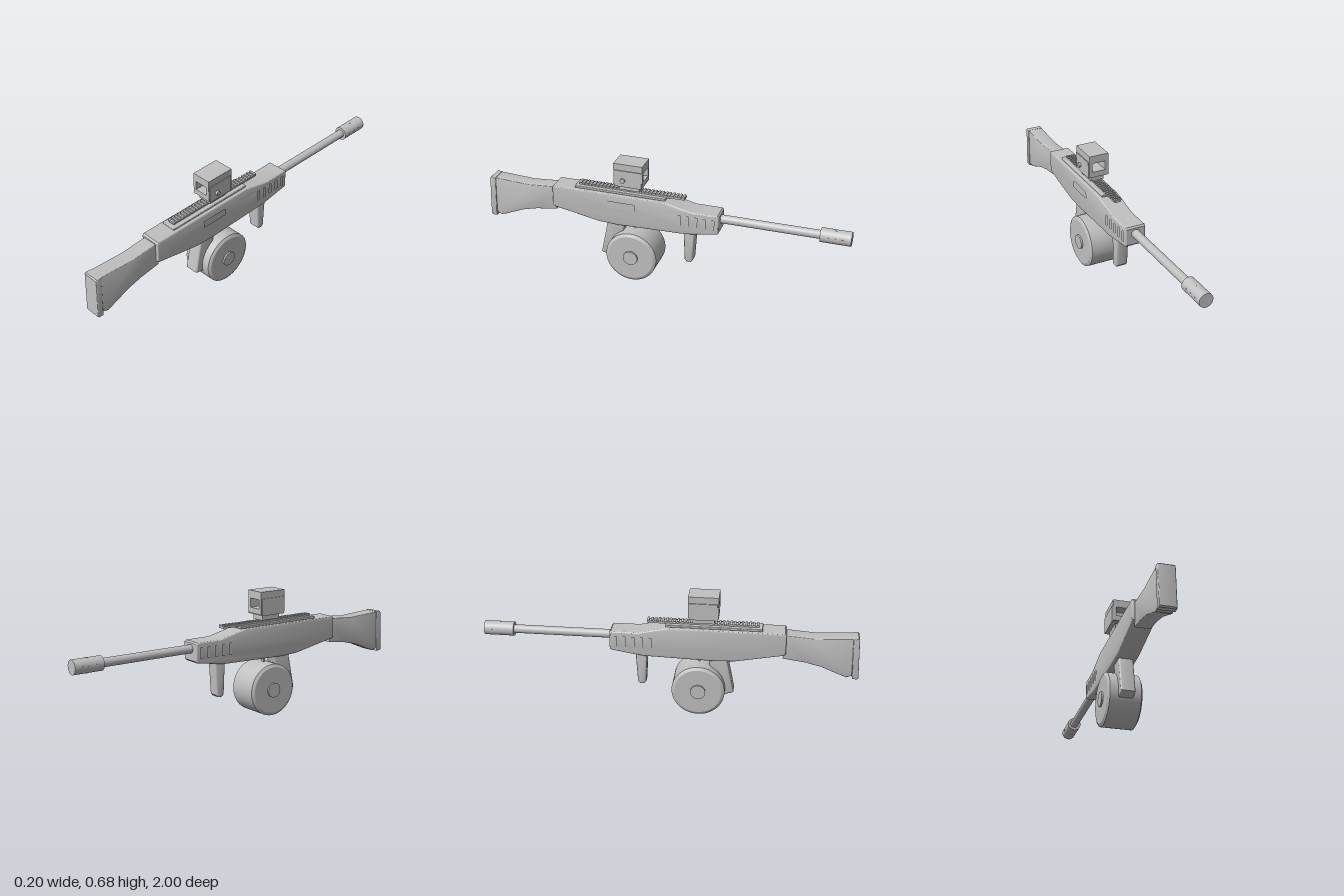
import * as THREE from 'three';
import { toCreasedNormals } from 'three/addons/utils/BufferGeometryUtils.js';
import { RoundedBoxGeometry } from 'three/addons/geometries/RoundedBoxGeometry.js';

const steel = new THREE.MeshStandardMaterial({ color: 0xc0c0c0 });
steel.name = 'light grey';

function add(parent, name, geometry, x = 0, y = 0, z = 0) {
  const mesh = new THREE.Mesh(geometry, steel);
  mesh.name = name;
  mesh.position.set(x, y, z);
  parent.add(mesh);
  return mesh;
}

// Side profile given as [z, y] points, extruded across x from x0 to x1
const toPoints = (pts) => pts.map(([z, y]) => new THREE.Vector2(-z, y));
function sideExtrude(pts, x0, x1, bevel = 0, holes = []) {
  const shape = new THREE.Shape(toPoints(pts));
  for (const h of holes) shape.holes.push(new THREE.Path(toPoints(h)));
  const g = new THREE.ExtrudeGeometry(shape, {
    depth: x1 - x0 - 2 * bevel, bevelEnabled: bevel > 0, bevelSize: bevel,
    bevelThickness: bevel, bevelOffset: -bevel, bevelSegments: 3,
  });
  g.translate(0, 0, x0 + bevel).rotateY(Math.PI / 2);
  return toCreasedNormals(g, 0.6);
}

// Cylinder lying along z or x
function rod(r, length, axis, sides = 32) {
  const g = new THREE.CylinderGeometry(r, r, length, sides);
  return axis === 'z' ? g.rotateX(Math.PI / 2) : g.rotateZ(Math.PI / 2);
}

const rect = (z0, z1, y0, y1) => [[z0, y0], [z1, y0], [z1, y1], [z0, y1]];

function buildReceiver(group) {
  const profile = [
    [0.615, 0.482], [0.607, 0.492], [0.0, 0.492], [-0.04, 0.486], [-0.165, 0.457],
    [-0.308, 0.457], [-0.316, 0.449], [-0.316, 0.358], [-0.308, 0.349],
    [-0.14, 0.322], [0.24, 0.312], [0.35, 0.317], [0.607, 0.366], [0.615, 0.374],
  ];
  add(group, 'receiverCore', sideExtrude(profile, -0.05, 0.05));
  // Side skins with cooling slots, and a port on the left side only
  const slots = [];
  for (let i = 0; i < 5; i++) {
    const z = -0.1 - i * 0.046;
    slots.push(rect(z - 0.014, z + 0.014, 0.365, 0.437));
  }
  const port = rect(0.14, 0.305, 0.405, 0.455);
  add(group, 'leftSkin', sideExtrude(profile, 0.036, 0.057, 0.007, [...slots, port]));
  add(group, 'rightSkin', sideExtrude(profile, -0.057, -0.036, 0.007, slots));
}

function buildStock(group) {
  const profile = [
    [0.6, 0.477], [0.64, 0.475], [0.76, 0.466], [0.96, 0.477],
    [0.965, 0.262], [0.935, 0.25], [0.8, 0.305], [0.72, 0.325], [0.6, 0.342],
  ];
  add(group, 'stock', sideExtrude(profile, -0.041, 0.041, 0.004));
  const pad = [[0.957, 0.478], [0.985, 0.478], [0.991, 0.472], [1.0, 0.25], [0.994, 0.243], [0.967, 0.243]];
  add(group, 'buttPad', sideExtrude(pad, -0.044, 0.044, 0.004));
}

function buildBarrel(group) {
  const y = 0.418;
  add(group, 'barrel', rod(0.023, 0.56, 'z'), 0, y, -0.57);
  add(group, 'muzzle', rod(0.038, 0.16, 'z'), 0, y, -0.92);
  // Vent discs around the muzzle
  for (const z of [-0.88, -0.92, -0.955]) {
    add(group, 'muzzleVent', rod(0.008, 0.077, 'x', 16), 0, y, z);
  }
  add(group, 'muzzleTopVent', new THREE.CylinderGeometry(0.008, 0.008, 0.077, 16), 0, y, -0.92);
}

function buildRail(group) {
  add(group, 'railPlate', new RoundedBoxGeometry(0.082, 0.014, 0.51, 2, 0.004), 0, 0.498, 0.235);
  add(group, 'railBase', new THREE.BoxGeometry(0.038, 0.01, 0.59), 0, 0.507, 0.175);
  for (let i = 0; i < 30; i++) {
    add(group, 'railTooth', new THREE.BoxGeometry(0.044, 0.008, 0.011), 0, 0.514, 0.464 - i * 0.0199);
  }
}

function buildSight(group) {
  // Housing is a rectangular frame along z with a see-through channel
  const frame = (w, y0, y1, depth) => {
    const s = new THREE.Shape([[-w, y0], [w, y0], [w, y1], [-w, y1]].map((p) => new THREE.Vector2(...p)));
    s.holes.push(new THREE.Path([[-0.037, 0.585], [0.037, 0.585], [0.037, 0.635], [-0.037, 0.635]]
      .map((p) => new THREE.Vector2(...p))));
    return new THREE.ExtrudeGeometry(s, { depth, bevelEnabled: false }).translate(0, 0, -depth / 2);
  };
  add(group, 'sightHood', frame(0.055, 0.556, 0.678, 0.16), 0, 0, 0.18);
  add(group, 'sightBody', frame(0.06, 0.55, 0.642, 0.148), 0, 0, 0.18);
  add(group, 'lens', new THREE.BoxGeometry(0.074, 0.05, 0.006), 0, 0.61, 0.2);
  add(group, 'sightMount', new THREE.BoxGeometry(0.076, 0.032, 0.115), 0, 0.537, 0.18);
  add(group, 'sightKnob', rod(0.013, 0.02, 'x', 20), 0.061, 0.587, 0.207);
}

function buildDrum(group) {
  const profile = [[0, -0.091], [0.126, -0.091], [0.142, -0.082], [0.142, 0.082], [0.126, 0.091], [0, 0.091]]
    .map(([r, h]) => new THREE.Vector2(r, h));
  const drum = toCreasedNormals(new THREE.LatheGeometry(profile, 48).rotateZ(Math.PI / 2), 0.4);
  add(group, 'drumMagazine', drum, 0, 0.143, 0.16);
  add(group, 'drumHub', rod(0.04, 0.2, 'x'), 0, 0.143, 0.16);
}

function buildGrips(group) {
  const rear = [[0.305, 0.33], [0.347, 0.122], [0.34, 0.116], [0.293, 0.103], [0.285, 0.11], [0.215, 0.28], [0.205, 0.33]];
  add(group, 'rearGrip', sideExtrude(rear, -0.039, 0.039, 0.009));
  const trigger = [[0.17, 0.32], [0.163, 0.295], [0.17, 0.27], [0.16, 0.27], [0.152, 0.295], [0.152, 0.32]];
  add(group, 'trigger', sideExtrude(trigger, -0.01, 0.01));
  const fore = [[-0.118, 0.335], [-0.126, 0.152], [-0.138, 0.14], [-0.16, 0.14], [-0.17, 0.152], [-0.182, 0.335]];
  add(group, 'foreGrip', sideExtrude(fore, -0.034, 0.034, 0.01));
}

export function createModel() {
  const model = new THREE.Group();
  model.name = 'toyDrumRifle';
  const parts = {
    receiver: buildReceiver, shoulderStock: buildStock, barrelAssembly: buildBarrel,
    topRail: buildRail, sight: buildSight, drum: buildDrum, grips: buildGrips,
  };
  for (const [name, build] of Object.entries(parts)) {
    const group = new THREE.Group();
    group.name = name;
    build(group);
    model.add(group);
  }
  return model;
}
